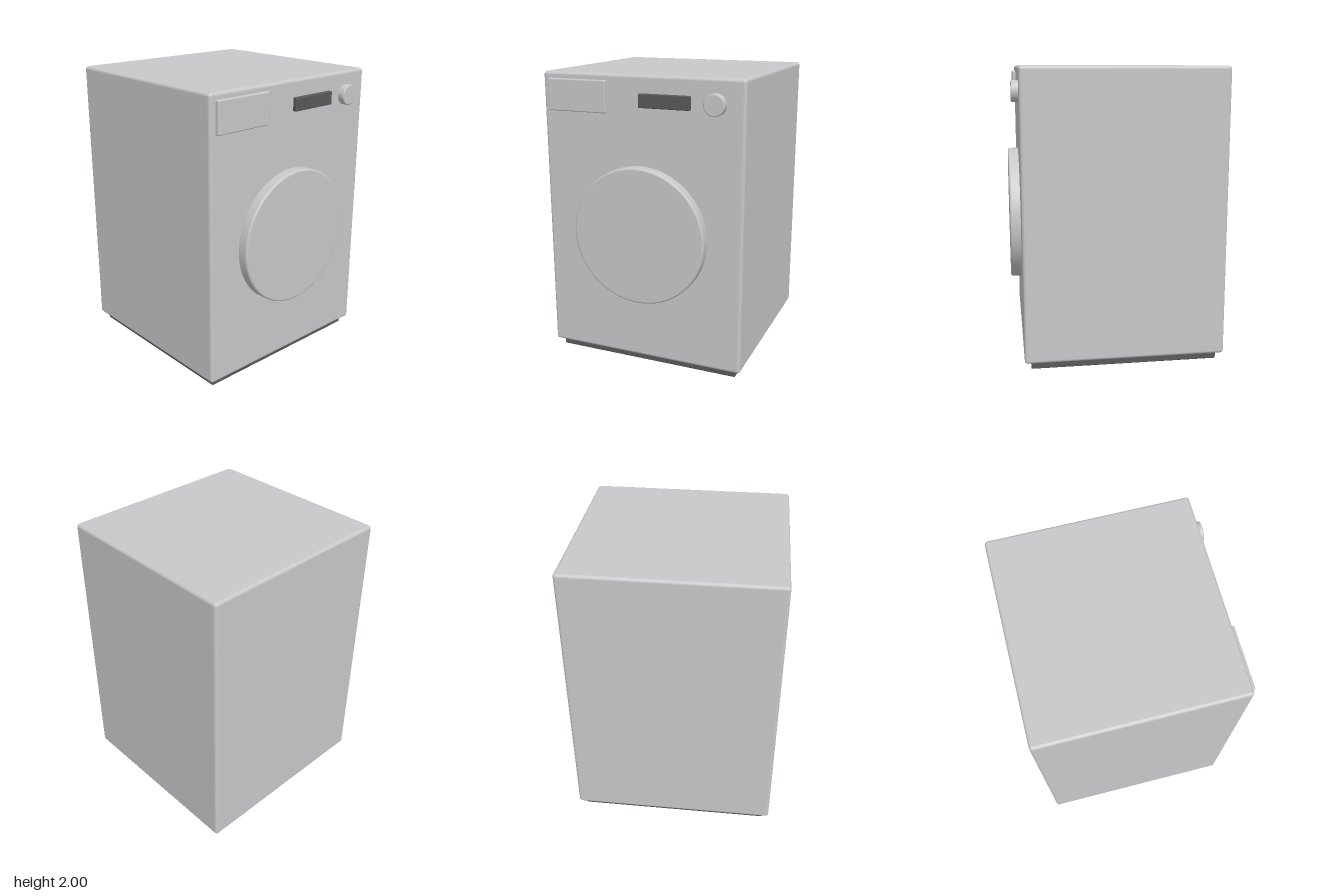
import * as THREE from 'three';
import { RoundedBoxGeometry } from 'three/addons/geometries/RoundedBoxGeometry.js';

export function createModel() {
  const model = new THREE.Group();
  const enamel = new THREE.MeshStandardMaterial({ color: 0xc6c8c9 });
  enamel.name = 'light grey enamel';
  const dark = new THREE.MeshStandardMaterial({ color: 0x595959 });
  dark.name = 'dark grey plastic';

  const add = (name, geometry, material) => {
    const mesh = new THREE.Mesh(geometry, material);
    mesh.name = name;
    model.add(mesh);
    return mesh;
  };

  // Rounded box given by its limits on each axis
  const box = (name, [x0, x1], [y0, y1], [z0, z1], radius, material) =>
    add(name, new RoundedBoxGeometry(x1 - x0, y1 - y0, z1 - z0, 4, radius), material)
      .position.set((x0 + x1) / 2, (y0 + y1) / 2, (z0 + z1) / 2);

  // Round disc facing +z with a softened front rim
  const disc = (name, x, y, z0, z1, radius, bevel, material) => {
    const depth = z1 - z0;
    const profile = [new THREE.Vector2(0, 0), new THREE.Vector2(radius, 0), new THREE.Vector2(radius, 0)];
    for (let i = 0; i <= 5; i++) {
      const a = (i / 5) * Math.PI / 2;
      profile.push(new THREE.Vector2(
        radius - bevel + bevel * Math.cos(a), depth - bevel + bevel * Math.sin(a)));
    }
    profile.push(new THREE.Vector2(radius - bevel - 0.002, depth), new THREE.Vector2(0, depth));
    const geometry = new THREE.LatheGeometry(profile, 96).rotateX(Math.PI / 2);
    add(name, geometry, material).position.set(x, y, z0);
  };

  // Cabinet on a recessed plinth
  box('cabinet', [-0.705, 0.705], [0.052, 2], [-0.716, 0.645], 0.022, enamel);
  box('plinth', [-0.66, 0.66], [0, 0.075], [-0.67, 0.6], 0.006, dark);

  // Control panel
  box('detergentDrawer', [-0.66, -0.235], [1.745, 1.957], [0.625, 0.668], 0.008, enamel);
  box('display', [0, 0.35], [1.795, 1.885], [0.625, 0.671], 0.006, dark);
  disc('programDial', 0.515, 1.84, 0.64, 0.692, 0.07, 0.008, enamel);

  // Loading door
  disc('door', 0, 0.945, 0.64, 0.716, 0.468, 0.014, enamel);

  return model;
}
